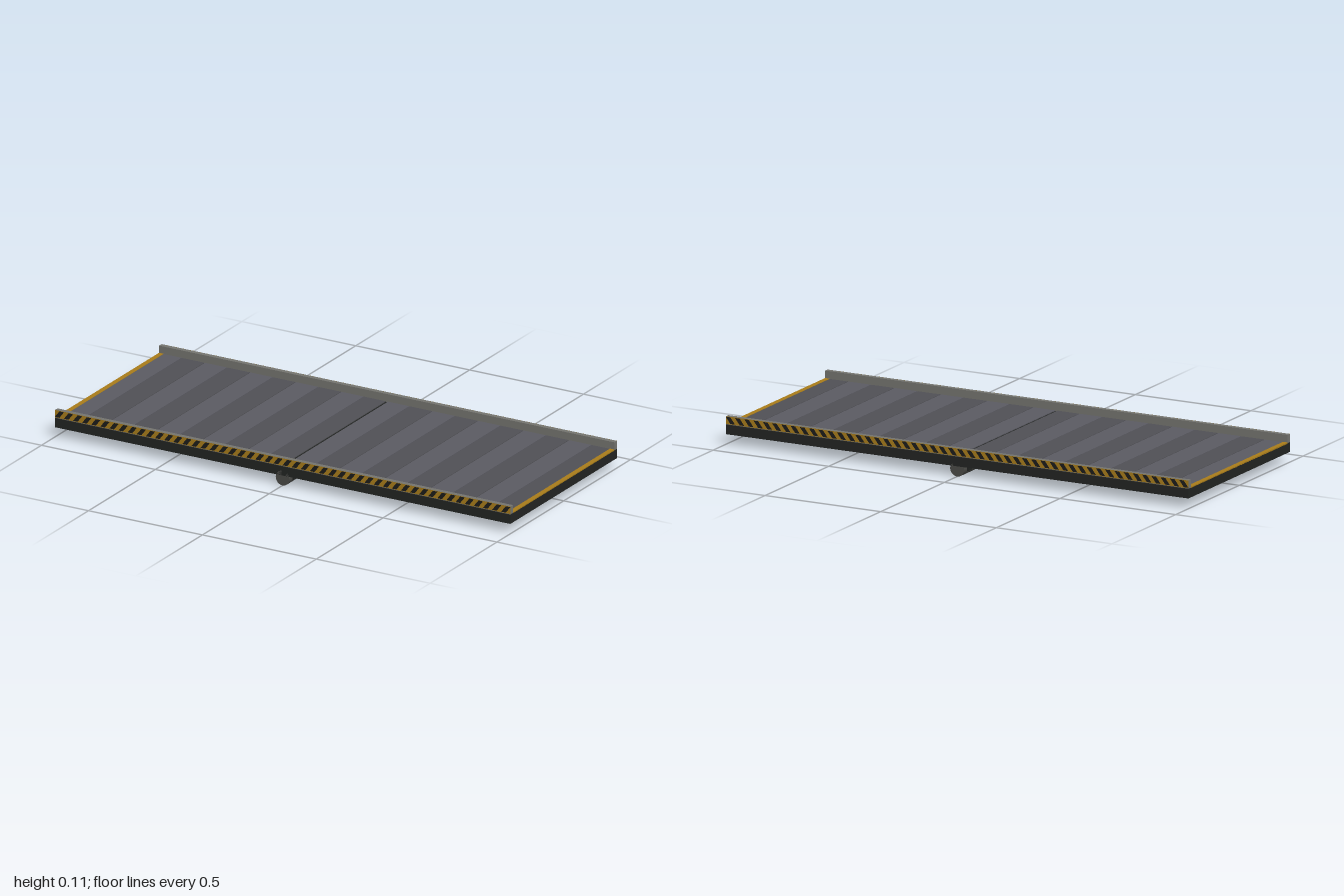
import * as THREE from 'three';

const mat = (color, extra = {}) => {
  const m = new THREE.MeshStandardMaterial(extra);
  m.color.set(color);
  return m;
};

export function createModel() {
  const model = new THREE.Group();
  model.name = 'tiltingPlatform';

  const black = mat(0x222422);
  const yellow = mat(0xa87c1a);
  const steel = mat(0x74746f);
  const shaftMat = mat(0x4a4a46);
  const plankMats = [0x505055, 0x5a5a62].map(c => mat(c));
  const stripeYellow = mat(0xa87c1a, { side: THREE.DoubleSide });
  const stripeBlack = mat(0x1c1c1a, { side: THREE.DoubleSide });

  const add = (name, geometry, material, x = 0, y = 0, z = 0) => {
    const mesh = new THREE.Mesh(geometry, material);
    mesh.name = name;
    mesh.position.set(x, y, z);
    model.add(mesh);
    return mesh;
  };
  const box = (name, w, h, d, material, x, y, z) =>
    add(name, new THREE.BoxGeometry(w, h, d), material, x, y, z);

  // Deck slab
  box('deckSlab', 2, 0.037, 0.8, black, 0, 0.0585, 0);

  // Floor plates with narrow seams and a wider one over the pivot
  for (let i = 0; i < 20; i++) {
    const left = i === 0 ? -0.98 : -1 + i * 0.1 + (i === 10 ? 0.005 : 0.0015);
    const right = i === 19 ? 0.98 : -0.9 + i * 0.1 - (i === 9 ? 0.005 : 0.0015);
    const shade = plankMats[(i * 7 + (i >> 1)) % 3 === 0 ? 1 : 0];
    box('floorPlate', right - left, 0.004, 0.76, shade, (left + right) / 2, 0.078, 0);
  }

  // Yellow end strips
  for (const s of [-1, 1]) box('endStrip', 0.02, 0.005, 0.76, yellow, s * 0.99, 0.0785, 0);

  // Slanted hazard stripes, clipped to the length of the kerb
  const pitch = 0.04, slant = 0.02, y0 = 0.082, y1 = 0.108;
  const stripes = [];
  for (let x = -1; x < 0.99; x += pitch) {
    const end = Math.min(x + slant * 2, 1);
    stripes.push(new THREE.Shape([
      new THREE.Vector2(x, y0), new THREE.Vector2(x + slant, y0),
      new THREE.Vector2(end, y1), new THREE.Vector2(x + slant, y1)
    ]));
  }
  const stripeGeometry = new THREE.ShapeGeometry(stripes);

  // Side kerbs, each with a striped outer band
  for (const s of [-1, 1]) {
    box('sideKerb', 2, 0.032, 0.019, steel, 0, 0.094, s * 0.3895);
    add('hazardBand', new THREE.PlaneGeometry(2, 0.03), stripeYellow, 0, 0.095, s * 0.3994);
    add('hazardStripes', stripeGeometry, stripeBlack, 0, 0, s * 0.4);
  }

  // Pivot shaft and its bearing blocks
  add('pivotShaft', new THREE.CylinderGeometry(0.03, 0.03, 0.8, 24), shaftMat, 0, 0.03, 0)
    .rotation.x = Math.PI / 2;
  for (const z of [-0.36, 0, 0.36]) box('bearingBlock', 0.07, 0.024, 0.03, black, 0, 0.032, z);

  return model;
}
